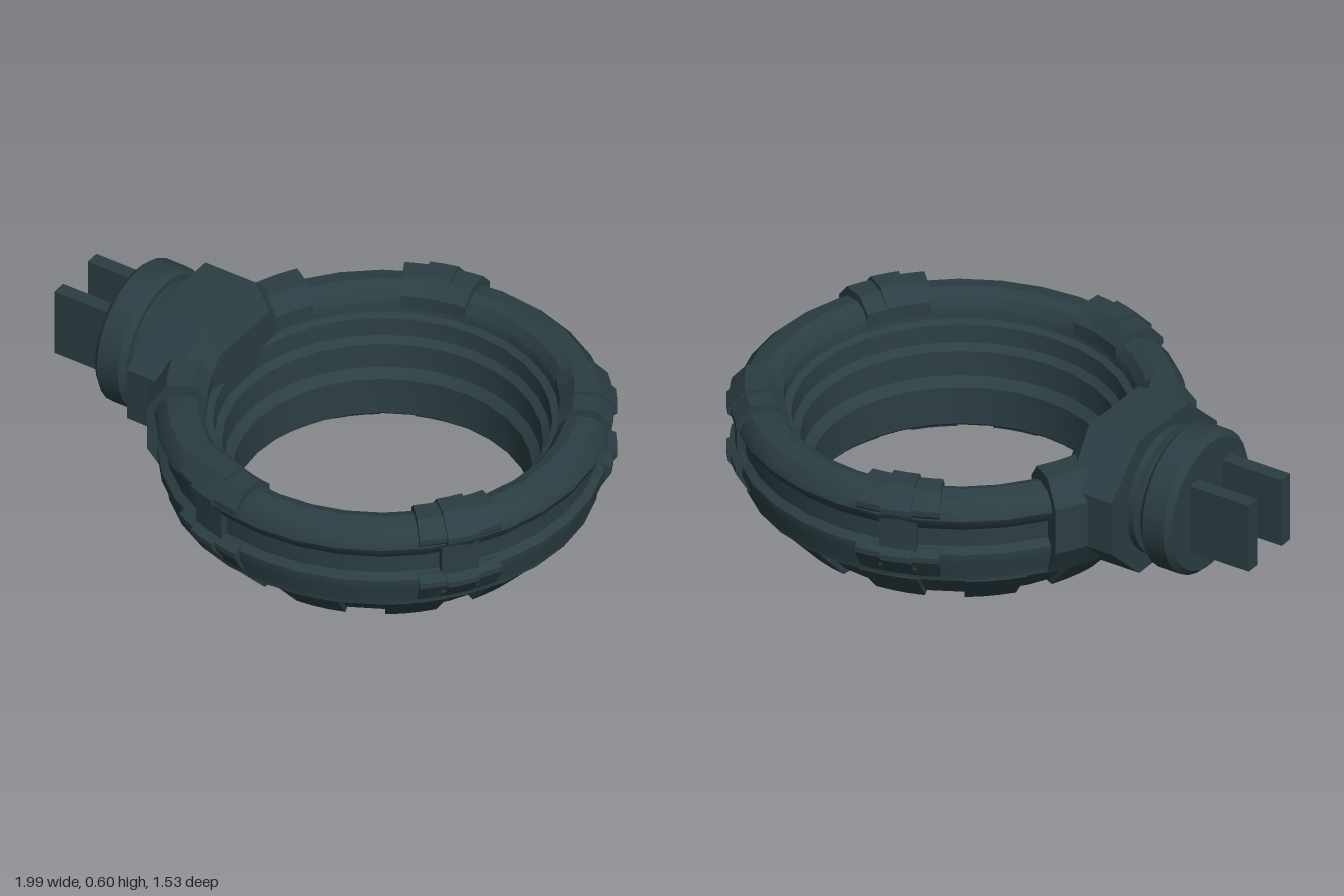
import * as THREE from 'three';
import { toCreasedNormals } from 'three/addons/utils/BufferGeometryUtils.js';
import { ConvexGeometry } from 'three/addons/geometries/ConvexGeometry.js';

const CX = 0.23;      // ring centre in x
const AXIS_Y = 0.345; // height of the plug axis
const material = new THREE.MeshStandardMaterial({ color: 0x2b3e43 });
const toVectors = (points) => points.map(([x, y]) => new THREE.Vector2(x, y));

function part(name, geometry, crease = 0.5) {
  const mesh = new THREE.Mesh(toCreasedNormals(geometry, crease), material);
  mesh.name = name;
  return mesh;
}

// Sweeps a (radius, height) profile around the ring between two angles in degrees
function arc(name, profile, from, to) {
  const steps = Math.max(2, Math.round((to - from) / 6));
  const geometry = new THREE.ExtrudeGeometry(new THREE.Shape(toVectors(profile)),
    { depth: 1, steps, bevelEnabled: false });
  const p = geometry.attributes.position;
  for (let i = 0; i < p.count; i++) {
    const a = THREE.MathUtils.degToRad(from + (to - from) * p.getZ(i));
    const r = p.getX(i);
    p.setXYZ(i, CX + r * Math.cos(a), p.getY(i), r * Math.sin(a));
  }
  return part(name, geometry);
}

// Surface of revolution around the plug axis, points as (radius, x)
function plugLathe(name, points) {
  const geometry = new THREE.LatheGeometry(toVectors(points), 28);
  geometry.rotateZ(-Math.PI / 2).translate(0, AXIS_Y, 0);
  return part(name, geometry);
}

function createClamp(angle) {
  const clamp = new THREE.Group();
  clamp.name = 'clamp';
  const upper = (d) => [[0.59, 0.40], [0.59, 0.45], [0.64, 0.495 + d], [0.72, 0.495 + d],
    [0.77 + d, 0.44], [0.77 + d, 0.42], [0.735, 0.385], [0.68, 0.40]];
  const lower = (d) => [[0.67, 0.20], [0.70, 0.155], [0.725, 0.165],
    [0.77 + d, 0.24], [0.77 + d, 0.26], [0.74, 0.28], [0.68, 0.27]];
  for (const [from, to, d] of [[-11, -4, 0], [-4, 4, 0.013], [4, 11, 0]]) {
    clamp.add(arc('clampUpper', upper(d), angle + from, angle + to));
    clamp.add(arc('clampLower', lower(d), angle + from, angle + to));
  }
  clamp.add(arc('clampBar', [[0.68, 0.2], [0.752, 0.2], [0.752, 0.44], [0.68, 0.44]], angle - 5, angle + 5));
  return clamp;
}

export function createModel() {
  const model = new THREE.Group();
  model.name = 'ringConnector';

  // Main ring: two outer ridges, a groove between them and a tapering base
  const profile = [[0.51, 0.02], [0.575, 0.02], [0.695, 0.145], [0.725, 0.15], [0.725, 0.17],
    [0.75, 0.23], [0.75, 0.265], [0.725, 0.285], [0.725, 0.32], [0.725, 0.35], [0.75, 0.375],
    [0.76, 0.40], [0.75, 0.43], [0.72, 0.46], [0.66, 0.47], [0.62, 0.455], [0.595, 0.42],
    [0.59, 0.385], [0.565, 0.375], [0.56, 0.31], [0.535, 0.29], [0.53, 0.2], [0.50, 0.17],
    [0.50, 0.03], [0.51, 0.02]];
  const ring = part('ring', new THREE.LatheGeometry(toVectors(profile), 32));
  ring.position.x = CX;
  model.add(ring);

  // Raised plates around the base
  for (let i = 0; i < 12; i++) {
    const a = 17 + i * 30;
    model.add(arc('basePlate', [[0.515, 0.04], [0.525, 0.005], [0.585, 0.005],
      [0.705, 0.135], [0.69, 0.16], [0.57, 0.06]], a - 8.5, a + 8.5));
  }

  for (const angle of [36, 107, -107, -36]) model.add(createClamp(angle));

  // Saddle gripping the ring, with thicker middle
  model.add(arc('saddle', [[0.585, 0.40], [0.585, 0.45], [0.63, 0.51], [0.72, 0.51], [0.785, 0.42],
    [0.785, 0.25], [0.72, 0.14], [0.66, 0.14], [0.66, 0.38]], 147, 213));

  // Faceted housing between ring and plug
  const section = (x, half, flat, top, bottom) => {
    const points = [];
    for (const s of [-1, 1]) {
      points.push([x, top, s * flat], [x, bottom, s * flat],
        [x, AXIS_Y + 0.1, s * half], [x, AXIS_Y - 0.1, s * half]);
    }
    return points;
  };
  const housing = [
    ...section(-0.58, 0.32, 0.15, 0.6, 0.09),
    ...section(-0.41, 0.32, 0.15, 0.6, 0.09),
    ...section(-0.38, 0.28, 0.15, 0.6, 0.12),
    ...section(-0.325, 0.2, 0.15, 0.5, 0.2),
  ].map((p) => new THREE.Vector3(...p));
  model.add(part('housing', new ConvexGeometry(housing), 0.15));

  // Neck with a groove, and the plug collar
  model.add(plugLathe('neck', [[0, -0.66], [0.215, -0.66], [0.215, -0.625], [0.195, -0.62],
    [0.195, -0.61], [0.225, -0.605], [0.225, -0.57], [0, -0.57]]));
  model.add(plugLathe('collar', [[0, -0.765], [0.235, -0.765], [0.255, -0.745],
    [0.255, -0.66], [0.235, -0.64], [0, -0.64]]));

  // Two flat prongs
  for (const side of [-1, 1]) {
    const prong = part('prong', new THREE.BoxGeometry(0.26, 0.255, 0.052));
    prong.position.set(-0.87, AXIS_Y + 0.003, side * 0.1);
    model.add(prong);
  }
  return model;
}
